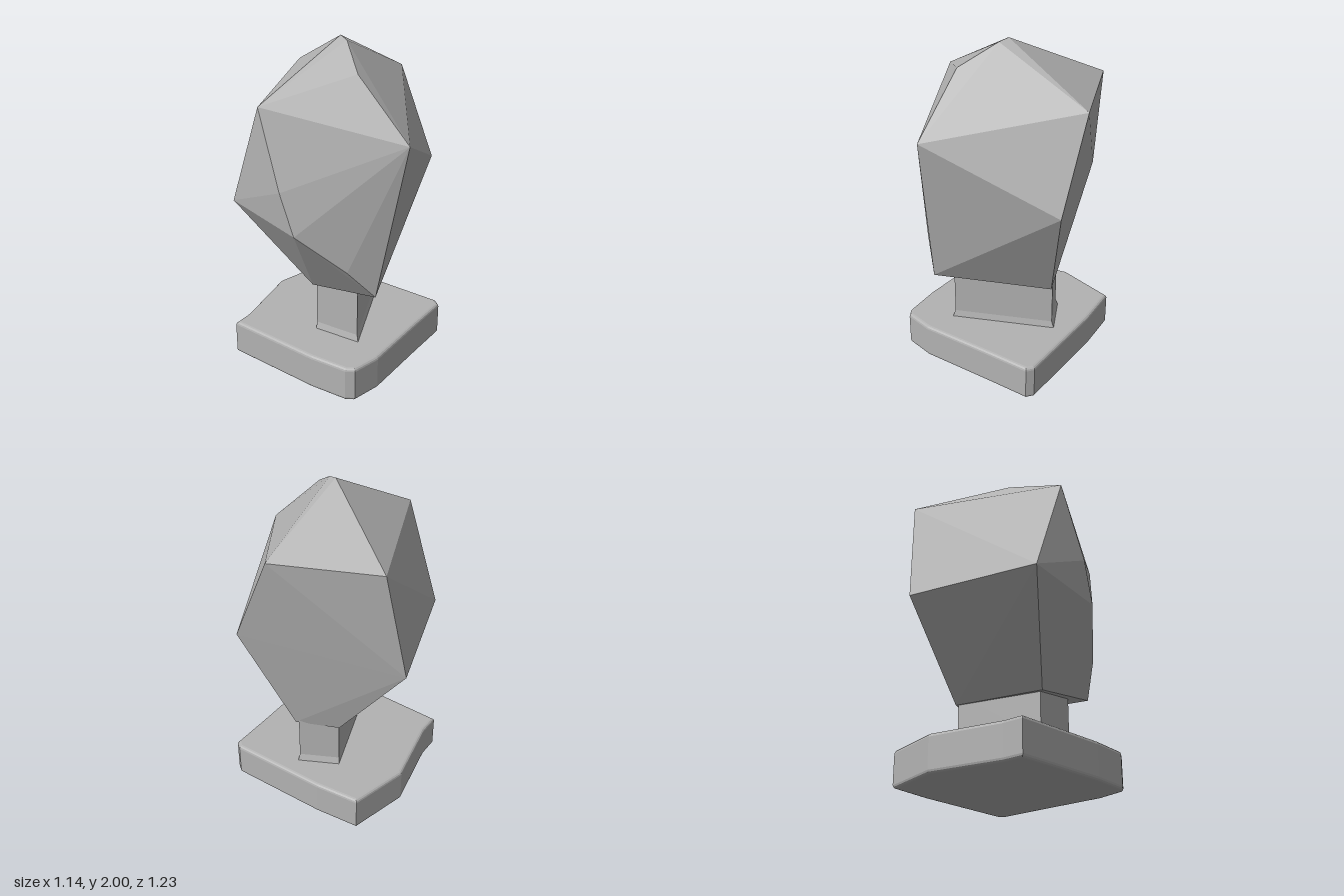
import * as THREE from 'three';
import { ConvexGeometry } from 'three/addons/geometries/ConvexGeometry.js';

const stone = new THREE.MeshStandardMaterial({ color: 0xb2b2b2 });
stone.name = 'grey stone';

// Faceted solid spanned by its corner points
function facetedSolid(name, corners) {
  const points = corners.map(([x, y, z]) => new THREE.Vector3(x, y, z));
  const mesh = new THREE.Mesh(new ConvexGeometry(points), stone);
  mesh.name = name;
  return mesh;
}

export function createModel() {
  const model = new THREE.Group();
  model.name = 'facetedStoneOnPlinth';

  // Plinth: irregular slab with softened rims
  const outline = [
    [-0.49, -0.38], [-0.38, -0.39], [0.05, -0.515], [0.4, -0.455], [0.44, -0.2], [0.48, 0.4],
    [0.46, 0.43], [0.2, 0.45], [-0.25, 0.49], [-0.42, 0.465], [-0.445, 0.43], [-0.475, 0.2],
  ];
  const bevel = 0.02;
  const shape = new THREE.Shape(outline.map(([x, z]) => new THREE.Vector2(x, -z)));
  const slab = new THREE.ExtrudeGeometry(shape, {
    depth: 0.22 - 2 * bevel, bevelSize: bevel, bevelThickness: bevel, bevelSegments: 3,
  });
  slab.rotateX(-Math.PI / 2).translate(0, bevel, 0);
  const plinth = new THREE.Mesh(slab, stone);
  plinth.name = 'plinth';
  model.add(plinth);

  // Neck: short four-sided post, with a small flare at its foot
  const neckPlan = [[0.345, 0.03], [-0.195, 0.31], [-0.235, 0.03], [0.22, -0.18]];
  const ring = (y, scale) => neckPlan.map(([x, z]) => [x * scale, y, z * scale]);
  model.add(facetedSolid('neck', [...ring(0.25, 1), ...ring(0.58, 1)]));
  model.add(facetedSolid('neckFoot', [...ring(0.21, 1.06), ...ring(0.26, 1)]));

  // Head: large faceted block narrowing down to the neck
  model.add(facetedSolid('head', [
    // crown
    [0, 2, 0.02], [-0.02, 1.985, 0.08], [-0.16, 1.86, 0.27],
    // shoulders
    [0.56, 1.71, 0.04], [0.27, 1.71, -0.53], [-0.55, 1.7, -0.1],
    // widest corners
    [-0.15, 1.53, 0.615], [0.57, 1.17, 0.28], [0.17, 1.05, -0.615], [-0.55, 1.09, -0.32],
    // rounded right cheek
    [-0.57, 1.25, 0.06], [-0.55, 1, 0.14], [-0.355, 0.77, 0.36],
    // underside
    [-0.22, 0.59, 0.46], [0.35, 0.51, 0.05], [0.23, 0.51, -0.19], [-0.26, 0.53, 0.02],
  ]));

  return model;
}
